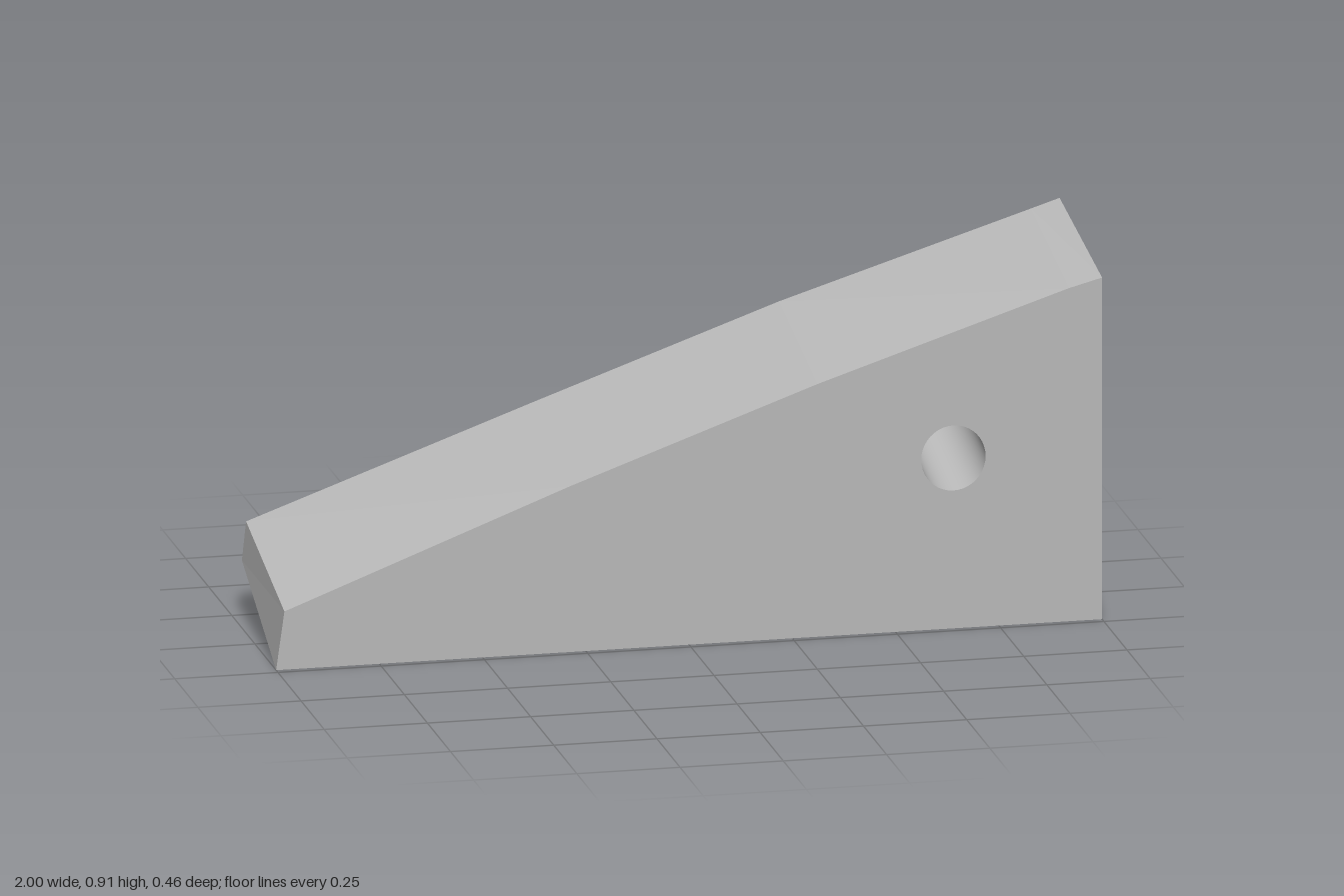
import * as THREE from 'three';

const HALF_DEPTH = 0.23;

// Counter-clockwise outlines; the back is raised and slightly shorter than the front
const frontOutline = [[-1, 0], [1, 0], [1, 0.84], [0.92, 0.819], [0.31, 0.621], [-0.29, 0.407], [-0.98, 0.143]];
const backOutline = [[-0.98, 0.14], [1, 0.14], [1, 0.907], [0.93, 0.885], [0.32, 0.695], [-0.28, 0.483], [-0.97, 0.235]];

// Clockwise loop, so that the walls of the bore face inward
function boreLoop(cx, cy, segments = 40) {
  return Array.from({ length: segments }, (_, i) => {
    const a = (-i / segments) * Math.PI * 2;
    return [cx + 0.078 * Math.cos(a), cy + 0.08 * Math.sin(a)];
  });
}

// Walls joining a front loop to the matching back loop
function loft(front, back, smooth) {
  const n = front.length;
  const positions = [];
  const index = [];
  front.forEach(([x, y]) => positions.push(x, y, HALF_DEPTH));
  back.forEach(([x, y]) => positions.push(x, y, -HALF_DEPTH));
  for (let i = 0; i < n; i++) {
    const j = (i + 1) % n;
    index.push(i, n + i, n + j, i, n + j, j);
  }
  let geometry = new THREE.BufferGeometry();
  geometry.setAttribute('position', new THREE.Float32BufferAttribute(positions, 3));
  geometry.setIndex(index);
  if (!smooth) geometry = geometry.toNonIndexed();
  geometry.computeVertexNormals();
  return geometry;
}

// Flat end face with the bore cut out
function face(outline, bore, z, flip) {
  const toPoints = (loop) => loop.map(([x, y]) => new THREE.Vector2(x, y));
  const shape = new THREE.Shape(toPoints(outline));
  shape.holes.push(new THREE.Path(toPoints(bore)));
  const geometry = new THREE.ShapeGeometry(shape);
  if (flip) geometry.setIndex(Array.from(geometry.index.array).reverse());
  geometry.computeVertexNormals();
  geometry.translate(0, 0, z);
  return geometry;
}

export function createModel() {
  const group = new THREE.Group();
  group.name = 'wedgeBlock';
  const grey = new THREE.MeshStandardMaterial({ color: 0xb8b8b8 });
  grey.name = 'grey';

  const add = (name, geometry) => {
    const mesh = new THREE.Mesh(geometry, grey);
    mesh.name = name;
    group.add(mesh);
  };

  // The bore climbs towards the back
  const frontBore = boreLoop(0.64, 0.419);
  const backBore = boreLoop(0.64, 0.525);

  add('frontFace', face(frontOutline, frontBore, HALF_DEPTH, false));
  add('backFace', face(backOutline, backBore, -HALF_DEPTH, true));
  add('outerWalls', loft(frontOutline, backOutline, false));
  add('boreWall', loft(frontBore, backBore, true));
  return group;
}
